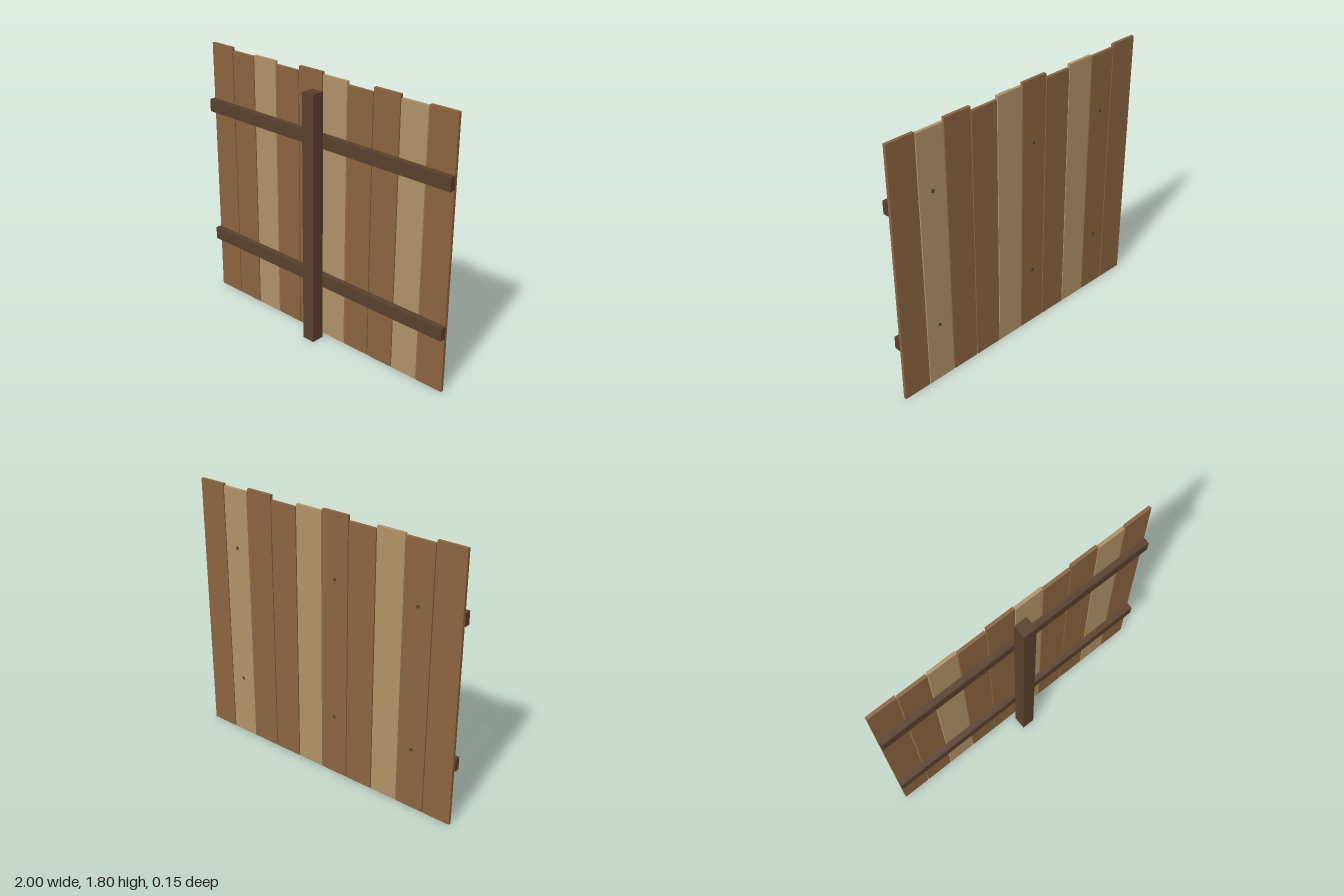
import * as THREE from 'three';

export function createModel() {
  const group = new THREE.Group();
  group.name = 'fencePanel';

  const material = (name, color) => {
    const m = new THREE.MeshStandardMaterial({ color });
    m.name = name;
    return m;
  };
  const brown = material('brownWood', 0x8b6540);
  const tan = material('tanWood', 0xb19267);
  const dark = material('darkWood', 0x5a402d);

  // Box given by its lower and upper limits on each axis
  const box = (name, mat, [x0, x1], [y0, y1], [z0, z1]) => {
    const mesh = new THREE.Mesh(new THREE.BoxGeometry(x1 - x0, y1 - y0, z1 - z0), mat);
    mesh.position.set((x0 + x1) / 2, (y0 + y1) / 2, (z0 + z1) / 2);
    mesh.name = name;
    group.add(mesh);
  };

  // Upright boards with uneven tops
  const boardX = (i) => -0.9 + i * 0.2;
  const heights = [1.805, 1.783, 1.794, 1.772, 1.805, 1.789, 1.767, 1.8, 1.778, 1.789];
  const tanBoards = [2, 5, 8];
  heights.forEach((h, i) => {
    const x = boardX(i);
    box(`board${i + 1}`, tanBoards.includes(i) ? tan : brown, [x - 0.0965, x + 0.0965], [0, h], [-0.075, -0.054]);
  });

  // Two cross rails and the post in front of them
  const railHeights = [0.423, 1.381];
  railHeights.forEach((y, i) => {
    box(i ? 'upperRail' : 'lowerRail', dark, [-1, 1], [y - 0.043, y + 0.043], [-0.054, -0.013]);
  });
  box('post', dark, [-0.045, 0.045], [0, 1.703], [-0.013, 0.076]);

  // Nail heads on the back, level with the rails
  const nailGeometry = new THREE.CylinderGeometry(0.012, 0.012, 0.004, 8).rotateX(Math.PI / 2);
  for (const i of [1, 4, 8]) {
    for (const y of railHeights) {
      const nail = new THREE.Mesh(nailGeometry, dark);
      nail.position.set(boardX(i), y, -0.075);
      nail.name = 'nailHead';
      group.add(nail);
    }
  }
  return group;
}
